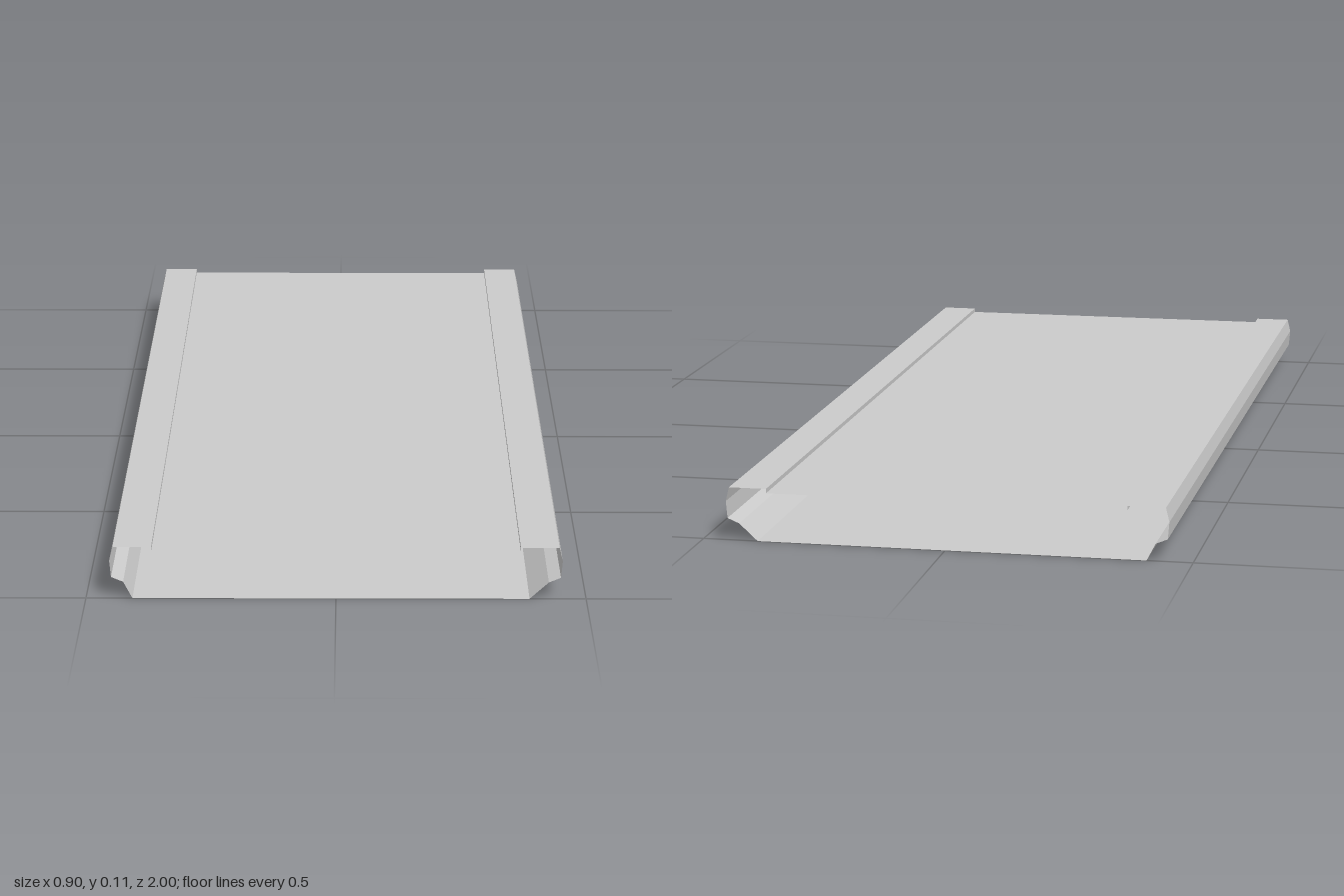
import * as THREE from 'three';

const HALF_LENGTH = 1;

const material = new THREE.MeshStandardMaterial({
  color: 0xcccccc,
  flatShading: true,
  side: THREE.DoubleSide,
});

// Thin folded sheet: an open [x, y] profile drawn out along z
function foldedSheet(name, profile) {
  const positions = [];
  const indices = [];
  profile.forEach(([x, y], i) => {
    positions.push(x, y, HALF_LENGTH, x, y, -HALF_LENGTH);
    if (i > 0) {
      const a = 2 * (i - 1);
      indices.push(a, a + 2, a + 1, a + 1, a + 2, a + 3);
    }
  });
  const indexed = new THREE.BufferGeometry();
  indexed.setAttribute('position', new THREE.Float32BufferAttribute(positions, 3));
  indexed.setIndex(indices);
  const geometry = indexed.toNonIndexed(); // keeps the folds sharp
  geometry.computeVertexNormals();
  const mesh = new THREE.Mesh(geometry, material);
  mesh.name = name;
  return mesh;
}

// Side channel from the bottom edge up to the raised rim and its inner step
function sideProfile(side, bottomX) {
  return [
    [bottomX, 0],
    [0.425, 0.035],
    [0.449, 0.045],
    [0.452, 0.08],
    [0.445, 0.109],
    [0.368, 0.109],
    [0.368, 0.1],
  ].map(([x, y]) => [side * x, y]).reverse();
}

export function createModel() {
  const group = new THREE.Group();
  group.name = 'hollowPanel';

  // The lower slope is a little steeper on the right side
  const leftBottom = 0.387;
  const rightBottom = 0.407;

  group.add(
    foldedSheet('topPanel', [[0.368, 0.1], [-0.368, 0.1]]),
    foldedSheet('bottomPanel', [[-rightBottom, 0], [leftBottom, 0]]),
    foldedSheet('leftSide', sideProfile(1, leftBottom).reverse()),
    foldedSheet('rightSide', sideProfile(-1, rightBottom)),
  );
  return group;
}
